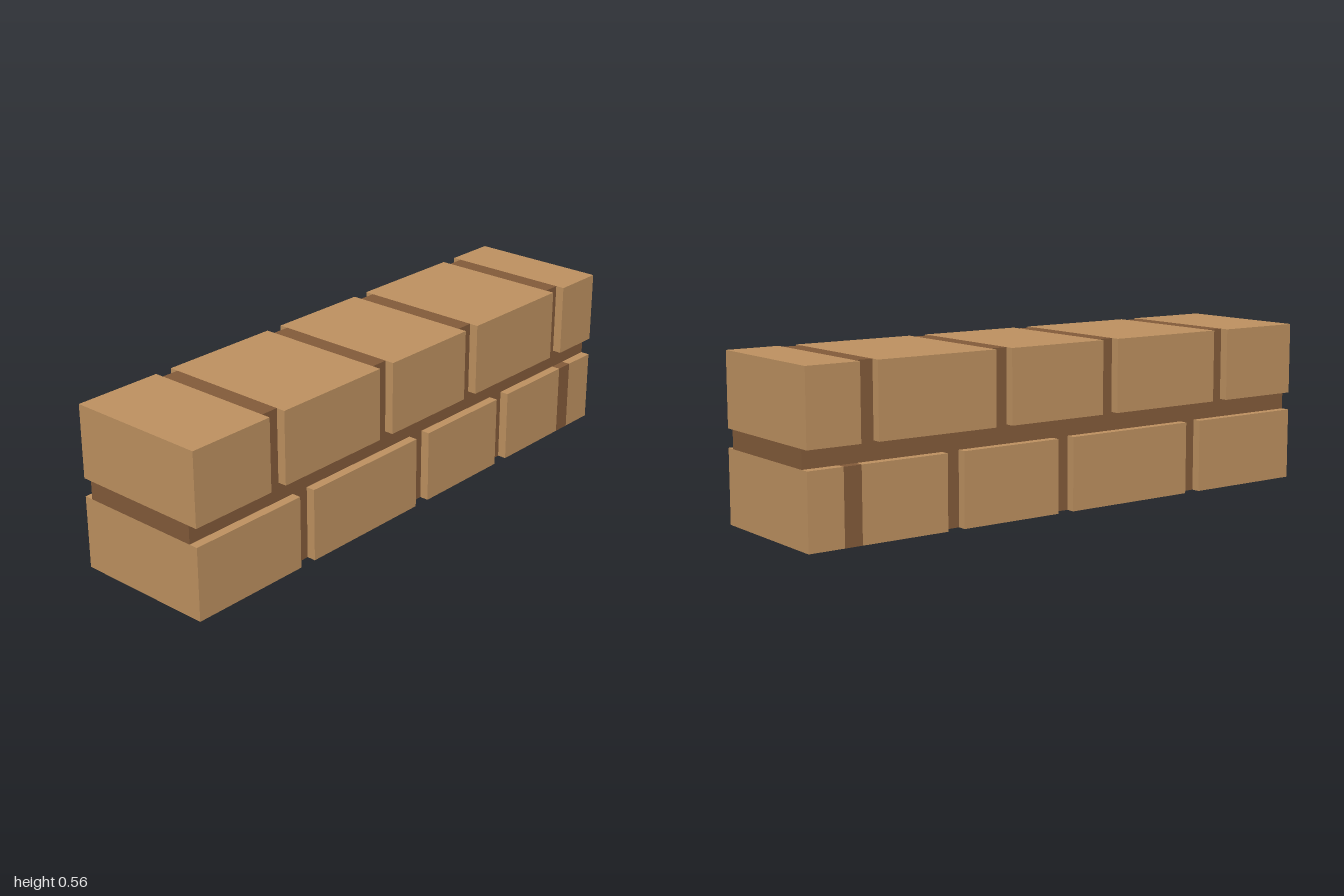
import * as THREE from 'three';

const brickMat = new THREE.MeshStandardMaterial({ color: 0xbe9160 });
brickMat.name = 'tan brick';
const mortarMat = new THREE.MeshStandardMaterial({ color: 0x835b3a });
mortarMat.name = 'brown mortar';

const DEPTH = 0.5;           // brick depth
const MORTAR_DEPTH = 0.4375; // mortar sits back from both faces
const JOINT = 0.0625;        // joint width
const BRICK_H = 0.25;

function block(name, mat, x0, x1, y0, y1, depth) {
  const mesh = new THREE.Mesh(new THREE.BoxGeometry(x1 - x0, y1 - y0, depth), mat);
  mesh.position.set((x0 + x1) / 2, (y0 + y1) / 2, 0);
  mesh.name = name;
  return mesh;
}

// One row of bricks, split by head joints starting at the given x positions
function course(name, y, joints, flushJoint) {
  const group = new THREE.Group();
  group.name = name;
  let x = -1;
  for (const j of joints) {
    group.add(block('brick', brickMat, x, j, y, y + BRICK_H, DEPTH));
    const depth = j === flushJoint ? DEPTH : MORTAR_DEPTH;
    group.add(block('headJoint', mortarMat, j, j + JOINT, y, y + BRICK_H, depth));
    x = j + JOINT;
  }
  group.add(block('brick', brickMat, x, 1, y, y + BRICK_H, DEPTH));
  return group;
}

export function createModel() {
  const wall = new THREE.Group();
  wall.name = 'brickWall';
  // The last joint of the lower row is flush with the brick faces
  wall.add(course('lowerCourse', 0, [-0.5625, 0, 0.4375, 0.8125], 0.8125));
  wall.add(block('bedJoint', mortarMat, -1, 1, BRICK_H, BRICK_H + JOINT, MORTAR_DEPTH));
  wall.add(course('upperCourse', BRICK_H + JOINT, [-0.6875, -0.1875, 0.25, 0.75]));
  return wall;
}
